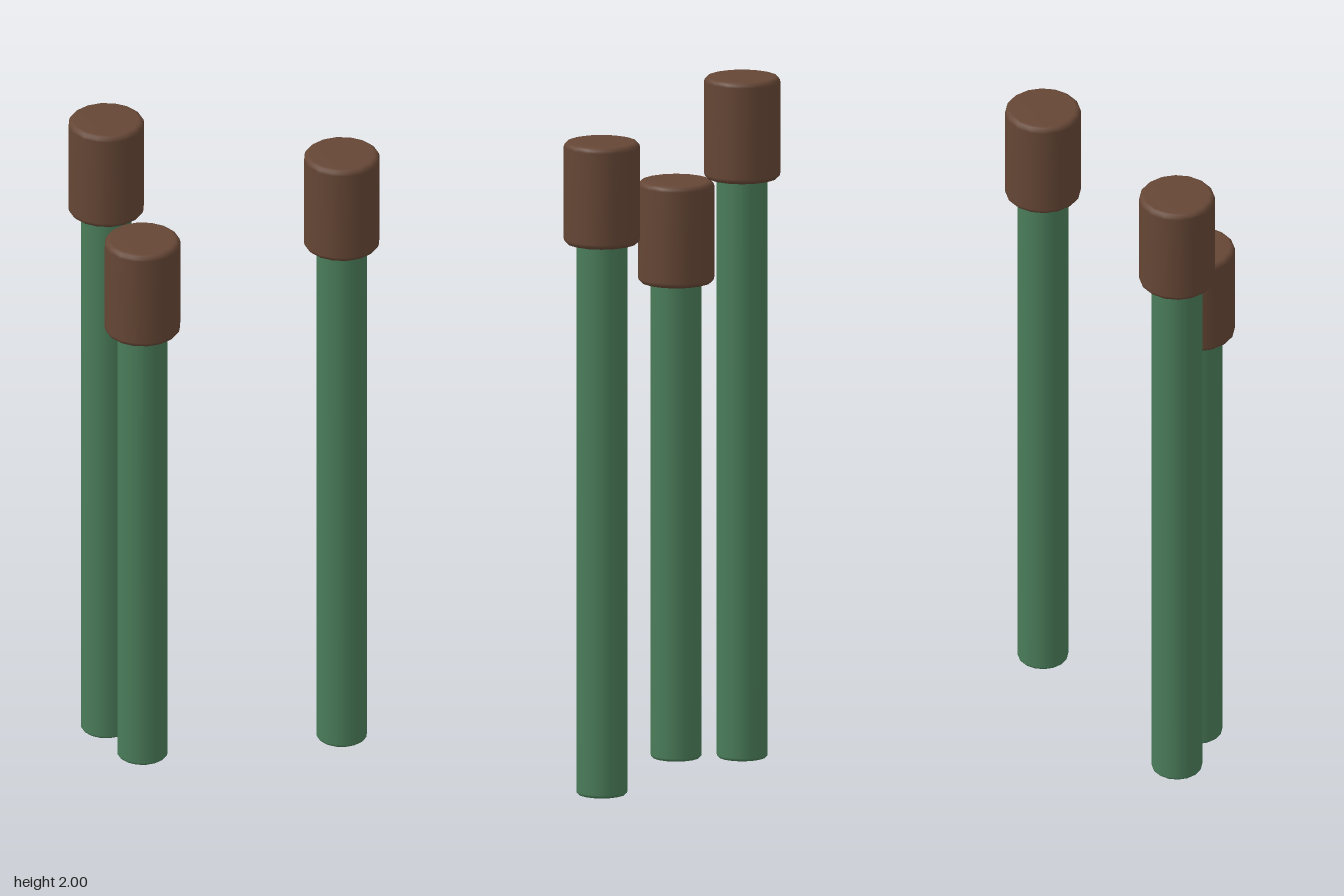
import * as THREE from 'three';

const SIDES = 16;
const green = new THREE.MeshStandardMaterial({ color: 0x4a7c59 });
const brown = new THREE.MeshStandardMaterial({ color: 0x654635 });

// Upright cylinder with softly rounded rims, base at y = 0
function roundedCylinder(radius, height, bevel) {
  const points = [new THREE.Vector2(0, 0)];
  const steps = 3;
  for (const top of [false, true]) {
    for (let i = 0; i <= steps; i++) {
      const a = (i / steps) * Math.PI / 2;
      const out = top ? Math.cos(a) : Math.sin(a);
      const rise = top ? Math.sin(a) : -Math.cos(a);
      const centreY = top ? height - bevel : bevel;
      points.push(new THREE.Vector2(radius - bevel + bevel * out, centreY + bevel * rise));
    }
  }
  points.push(new THREE.Vector2(0, height));
  return new THREE.LatheGeometry(points, SIDES);
}

// One reed: a green stem carrying a wider brown head
function createReed(x, z, height) {
  const headHeight = 0.3;
  const reed = new THREE.Group();
  reed.name = 'reed';
  const stem = new THREE.Mesh(roundedCylinder(0.0735, height - headHeight + 0.02, 0.01), green);
  stem.name = 'stem';
  const head = new THREE.Mesh(roundedCylinder(0.11, headHeight, 0.016), brown);
  head.name = 'head';
  head.position.y = height - headHeight;
  reed.add(stem, head);
  reed.position.set(x, 0, z);
  return reed;
}

export function createModel() {
  const model = new THREE.Group();
  model.name = 'reeds';
  // x, z and overall height of each reed
  const reeds = [
    [-0.277, -0.198, 2.0],
    [-0.27, -0.008, 1.695],
    [0.276, 0.198, 1.917],
  ];
  for (const [x, z, height] of reeds) model.add(createReed(x, z, height));
  return model;
}
